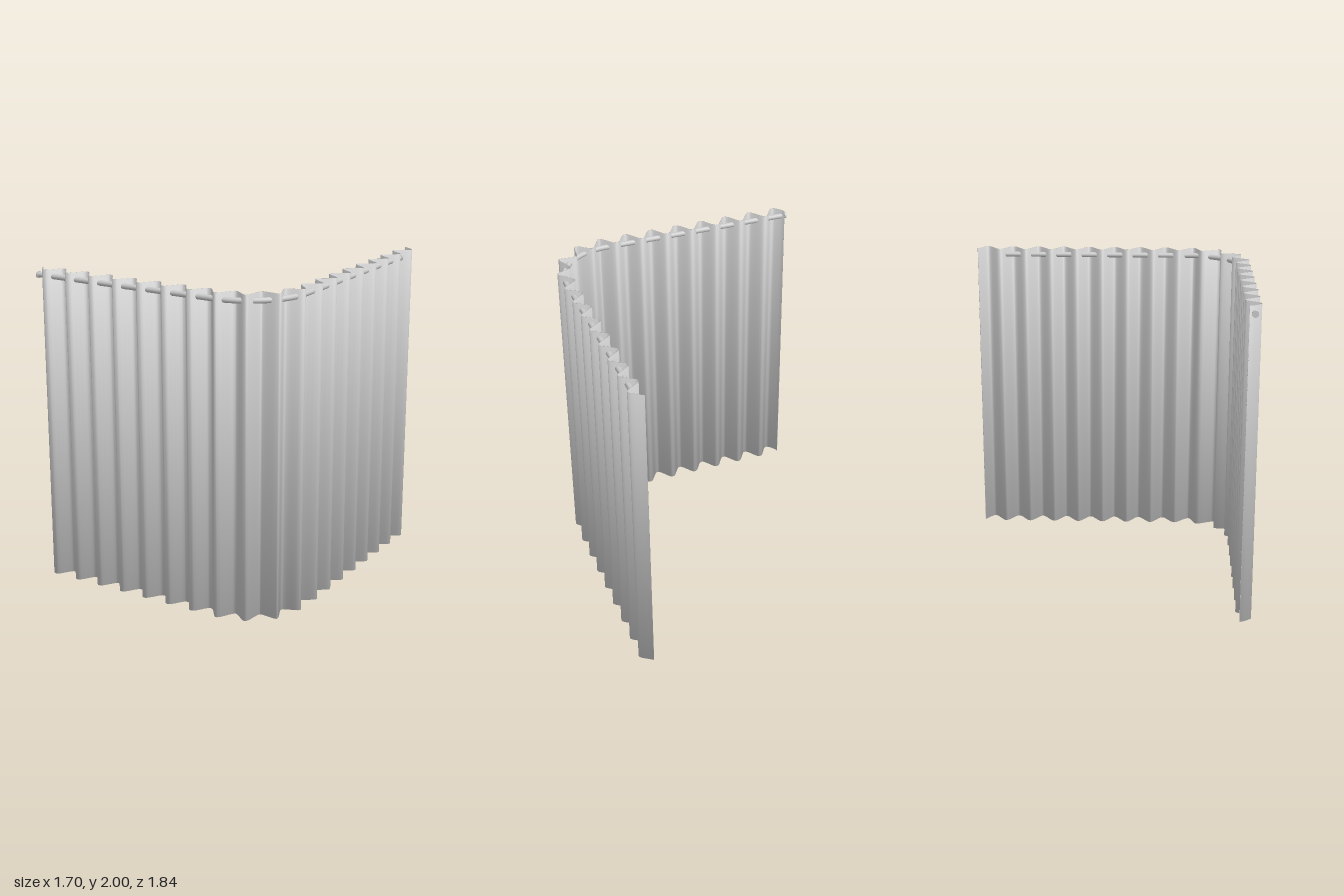
import * as THREE from 'three';

const HEIGHT = 2, ROD_Y = 1.955, ROD_X = 0.8, ROD_Z = 0.872, BEND = 0.38;

// Pleat line seen from above, as [x, z] turning points
function pleatLine() {
  const p = [[-0.833, 0.84], [-0.825, 0.862]];
  // front run: folds alternate about the rod
  for (let i = 0; i < 14; i++) {
    const x = -0.773 + i * 0.0873, s = i % 2 ? -1 : 1;
    p.push([x - 0.014, 0.868 + s * 0.041], [x, 0.868 + s * 0.045], [x + 0.014, 0.868 + s * 0.041]);
  }
  // corner folds
  p.push([0.45, 0.912], [0.465, 0.905], [0.525, 0.808], [0.54, 0.809], [0.62, 0.866], [0.635, 0.863],
    [0.655, 0.742], [0.665, 0.735], [0.765, 0.742], [0.778, 0.735], [0.735, 0.62], [0.74, 0.605],
    [0.83, 0.565], [0.836, 0.55]);
  // side run
  for (let i = 0; i < 16; i++) {
    const z = 0.452 - i * 0.0872, s = i % 2 ? 1 : -1;
    p.push([0.8 + s * 0.041, z + 0.013], [0.8 + s * 0.046, z], [0.8 + s * 0.041, z - 0.013]);
  }
  p.push([0.768, -0.922]);
  return p.map(([x, z]) => new THREE.Vector3(x, 0, z));
}

// Thin closed cloth; normals lean up at the top hem and down at the bottom hem
function curtainGeometry() {
  const curve = new THREE.CatmullRomCurve3(pleatLine(), false, 'centripetal');
  const n = 501, half = 0.0015, lean = 0.5;
  const ring = [];
  for (let i = 0; i < 2 * n; i++) {
    const outer = i < n;
    const t = (outer ? i : 2 * n - 1 - i) / (n - 1);
    const p = curve.getPoint(t), d = curve.getTangent(t), s = outer ? 1 : -1;
    ring.push({ p, nx: -d.z * s, nz: d.x * s });
  }
  const pos = [], nor = [], idx = [], m = ring.length;
  for (const [y, ny] of [[0, -lean], [HEIGHT, lean]]) {
    for (const { p, nx, nz } of ring) {
      const v = new THREE.Vector3(nx, ny, nz).normalize();
      pos.push(p.x + nx * half, y, p.z + nz * half);
      nor.push(v.x, v.y, v.z);
    }
  }
  for (let j = 0; j < m; j++) {
    const k = (j + 1) % m;
    idx.push(j, k, m + k, j, m + k, m + j);
  }
  // hems
  for (let i = 0; i < n - 1; i++) {
    const a = i, b = i + 1, c = m - 2 - i, d = m - 1 - i;
    idx.push(m + a, m + b, m + c, m + a, m + c, m + d);
    idx.push(a, c, b, a, d, c);
  }
  const g = new THREE.BufferGeometry();
  g.setAttribute('position', new THREE.Float32BufferAttribute(pos, 3));
  g.setAttribute('normal', new THREE.Float32BufferAttribute(nor, 3));
  g.setIndex(idx);
  return g;
}

// Rod: two straight runs joined by a quarter bend
function rodGeometry() {
  const pts = [new THREE.Vector3(-0.85, ROD_Y, ROD_Z), new THREE.Vector3(0.3, ROD_Y, ROD_Z)];
  for (let i = 0; i <= 12; i++) {
    const a = (i / 12) * Math.PI / 2;
    pts.push(new THREE.Vector3(ROD_X - BEND + BEND * Math.sin(a), ROD_Y, ROD_Z - BEND + BEND * Math.cos(a)));
  }
  pts.push(new THREE.Vector3(ROD_X, ROD_Y, 0.35), new THREE.Vector3(ROD_X, ROD_Y, -0.78));
  return new THREE.TubeGeometry(new THREE.CatmullRomCurve3(pts), 120, 0.017, 16);
}

export function createModel() {
  const group = new THREE.Group();
  const material = new THREE.MeshStandardMaterial({ color: 0xcccccc });
  const add = (name, geometry) => {
    const mesh = new THREE.Mesh(geometry, material);
    mesh.name = name;
    group.add(mesh);
    return mesh;
  };
  add('curtain', curtainGeometry());
  add('rod', rodGeometry());

  // end caps of the rod
  const cap = new THREE.CylinderGeometry(0.021, 0.021, 0.012, 20);
  const frontCap = add('frontRodCap', cap);
  frontCap.rotation.z = Math.PI / 2;
  frontCap.position.set(-0.849, ROD_Y, ROD_Z);
  const sideCap = add('sideRodCap', cap);
  sideCap.rotation.x = Math.PI / 2;
  sideCap.position.set(ROD_X, ROD_Y, -0.779);
  return group;
}
